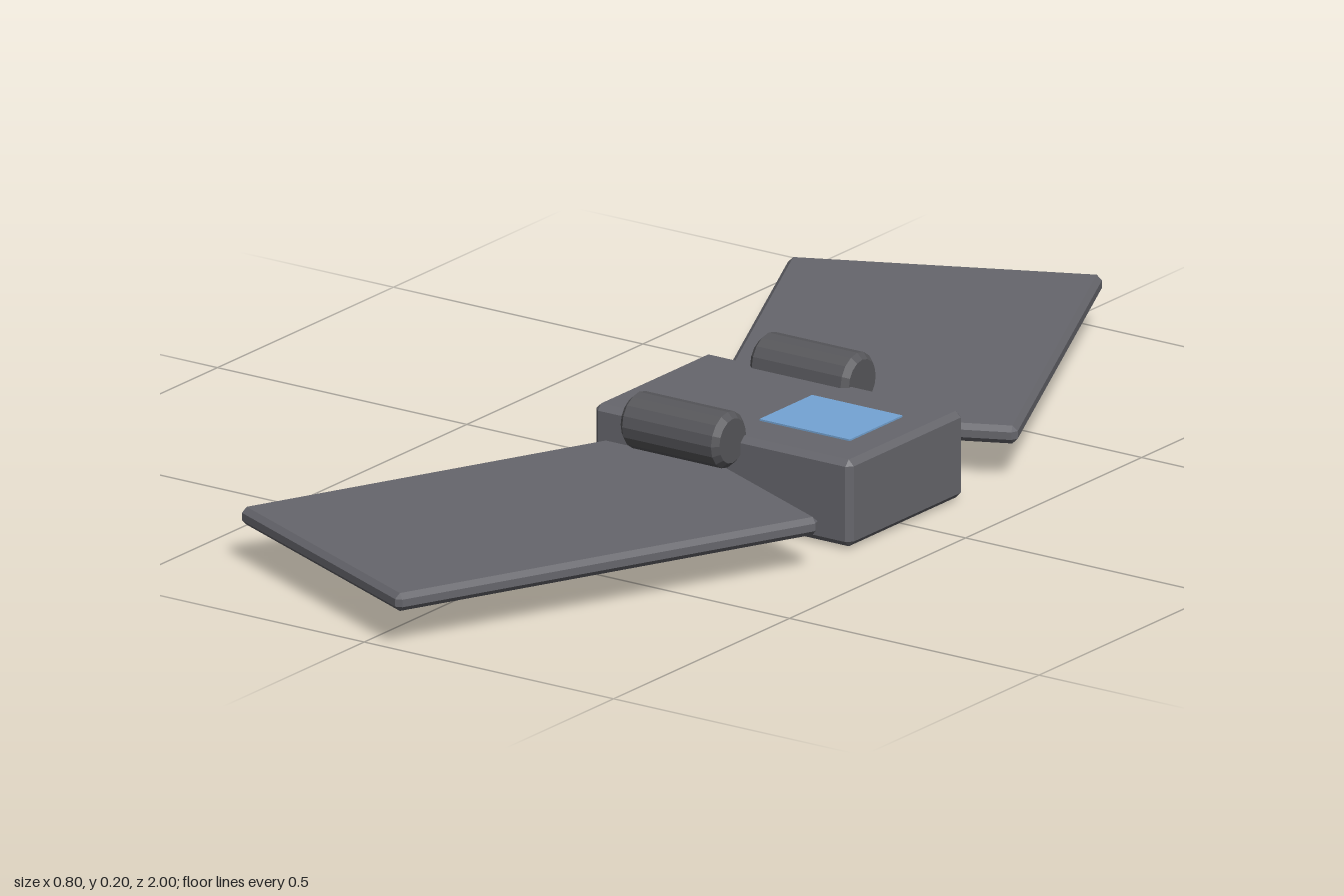
import * as THREE from 'three';
import { ConvexGeometry } from 'three/addons/geometries/ConvexGeometry.js';

const material = (color) => new THREE.MeshStandardMaterial({ color, flatShading: true });

// Box with every edge chamfered by c: each corner becomes three points.
function chamferBox(w, h, d, c) {
  const points = [];
  for (const sx of [-1, 1]) for (const sy of [-1, 1]) for (const sz of [-1, 1]) {
    for (let axis = 0; axis < 3; axis++) {
      const [x, y, z] = [w / 2, h / 2, d / 2].map((v, i) => (i === axis ? v : v - c));
      points.push(new THREE.Vector3(sx * x, sy * y, sz * z));
    }
  }
  return new ConvexGeometry(points);
}

export function createModel() {
  const model = new THREE.Group();
  model.name = 'wingedDevice';
  const grey = material(0x66666c);
  const darkGrey = material(0x57575b);
  const blue = material(0x74a4d4);

  const add = (name, geometry, mat, x, y, z) => {
    const mesh = new THREE.Mesh(geometry, mat);
    mesh.name = name;
    mesh.position.set(x, y, z);
    model.add(mesh);
    return mesh;
  };

  // Central block, with a window showing on its top and underside
  add('body', chamferBox(0.516, 0.15, 0.324, 0.01), grey, 0.125, 0.078, 0);
  add('window', new THREE.BoxGeometry(0.181, 0.156, 0.15), blue, 0.23, 0.078, 0);

  // Swept flat wings and chamfered rollers, mirrored front and back
  const wing = chamferBox(0.523, 0.031, 0.797, 0.009);
  const r = 0.048, half = 0.099, c = 0.01;
  const profile = [[0, -half], [r - c, -half], [r, c - half], [r, half - c], [r - c, half], [0, half]];
  const roller = new THREE.LatheGeometry(profile.map(([x, y]) => new THREE.Vector2(x, y)), 16);
  roller.rotateZ(-Math.PI / 2);

  for (const [side, s] of [['front', 1], ['back', -1]]) {
    const panel = add(side + 'Wing', wing, grey, 0, 0.079, s * 0.53);
    panel.rotation.y = -s * THREE.MathUtils.degToRad(25);
    add(side + 'Roller', roller, darkGrey, 0.064, 0.153, s * 0.184);
  }
  return model;
}
